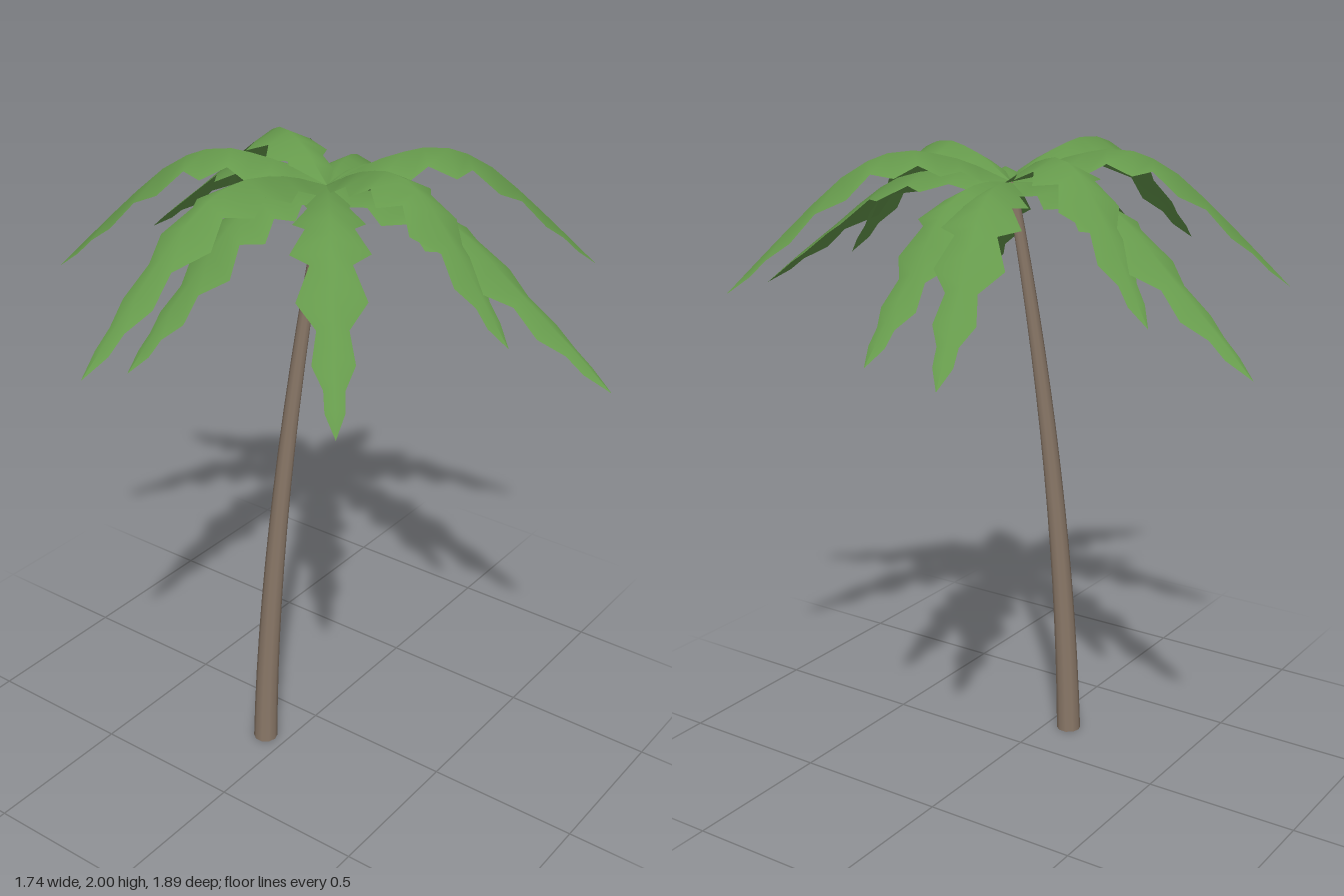
import * as THREE from 'three';

const CROWN = new THREE.Vector3(0.08, 1.9, -0.02);

// Frond stations: [fraction of reach, half width, height if arched, height if drooping]
const STATIONS = [
  [0, 0.005, 1.9, 1.9],
  [0.12, 0.07, 1.95, 1.912],
  [0.19, 0.06, 1.973, 1.916],
  [0.27, 0.105, 1.99, 1.914],
  [0.34, 0.07, 2.0, 1.905],
  [0.43, 0.115, 1.994, 1.88],
  [0.5, 0.06, 1.973, 1.845],
  [0.59, 0.1, 1.928, 1.785],
  [0.69, 0.045, 1.855, 1.712],
  [0.78, 0.06, 1.783, 1.65],
  [0.86, 0.03, 1.717, 1.594],
  [0.92, 0.028, 1.667, 1.55],
  [1, 0, 1.6, 1.49],
];

// Frond tips: [x, z, arched]
const TIPS = [
  [0.33, -0.95, false], [0.38, -0.66, true], [-0.32, -0.75, true],
  [-0.6, -0.22, false], [-0.87, -0.13, true], [-0.57, 0.49, false],
  [-0.02, 0.68, true], [0.11, 0.94, false], [0.69, 0.57, true],
  [0.79, -0.02, false], [0.87, -0.32, false],
];

// Serrated leaf folded along its midrib, three points across each station
function frondGeometry(tipX, tipZ, arched) {
  const dx = tipX - CROWN.x, dz = tipZ - CROWN.z;
  const reach = Math.hypot(dx, dz);
  const position = [], index = [];
  STATIONS.forEach(([t, w, high, low], i) => {
    for (const side of [-1, 0, 1]) {
      position.push(
        CROWN.x + dx * t - (dz / reach) * w * side,
        (arched ? high : low) - Math.abs(side) * w * 0.5,
        CROWN.z + dz * t + (dx / reach) * w * side,
      );
    }
    if (i === 0) return;
    for (let k = 0; k < 2; k++) {
      const a = (i - 1) * 3 + k, b = a + 3;
      index.push(a, a + 1, b, a + 1, b + 1, b);
    }
  });
  const geometry = new THREE.BufferGeometry();
  geometry.setAttribute('position', new THREE.Float32BufferAttribute(position, 3));
  geometry.setIndex(index);
  geometry.computeVertexNormals();
  return geometry;
}

// Tapered cylinder whose rings are shifted along a leaning curve
function trunkGeometry() {
  const height = 1.9;
  const geometry = new THREE.CylinderGeometry(0.016, 0.04, height, 10, 14);
  geometry.translate(0, height / 2, 0);
  const p = geometry.attributes.position;
  for (let i = 0; i < p.count; i++) {
    const s = p.getY(i) / height;
    p.setX(i, p.getX(i) - 0.185 + 0.265 * Math.pow(s, 1.9));
    p.setZ(i, p.getZ(i) - 0.075 + 0.055 * s);
  }
  return geometry;
}

export function createModel() {
  const model = new THREE.Group();
  model.name = 'palmTree';

  const bark = new THREE.MeshStandardMaterial({ color: 0x8a7868 });
  const leaf = new THREE.MeshStandardMaterial({ color: 0x669a4c, side: THREE.DoubleSide });

  const trunk = new THREE.Mesh(trunkGeometry(), bark);
  trunk.name = 'trunk';
  model.add(trunk);

  // Crown of fronds radiating from the top of the trunk
  const crown = new THREE.Group();
  crown.name = 'crown';
  TIPS.forEach((tip, i) => {
    const frond = new THREE.Mesh(frondGeometry(...tip), leaf);
    frond.name = `frond${i + 1}`;
    crown.add(frond);
  });
  model.add(crown);
  return model;
}
